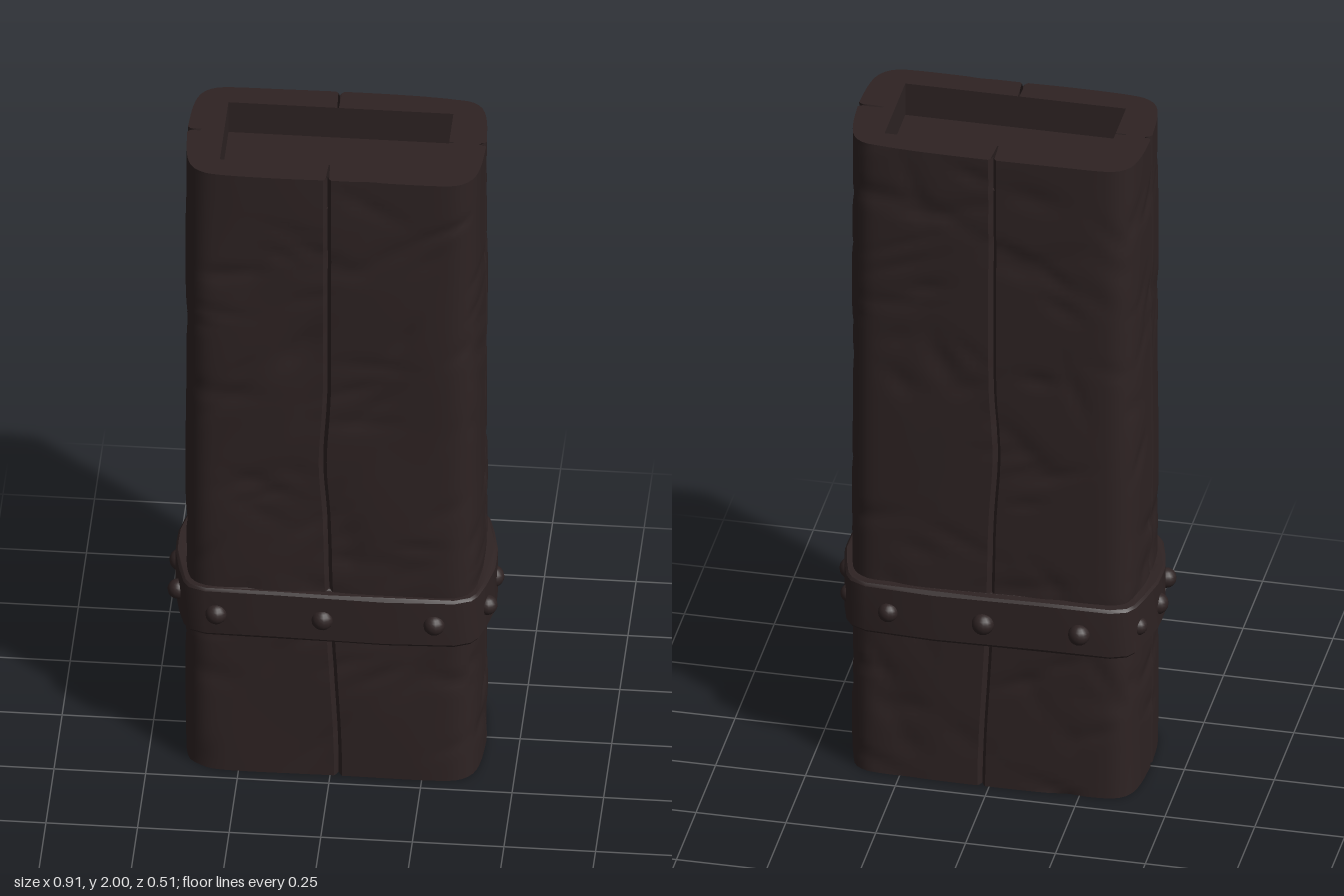
import * as THREE from 'three';
import { toCreasedNormals } from 'three/addons/utils/BufferGeometryUtils.js';

const HEIGHT = 2, MID_Z = 0.008, FLOOR_Y = 1.9;
const V2 = (x, y) => new THREE.Vector2(x, y);

// Small seeded generator for the carved dents
function seeded(seed) {
  return () => (seed = (seed * 16807) % 2147483647) / 2147483647;
}

// Quarter of an outline (front centre to left side), mirrored into a closed loop
function mirrorQuarter(q) {
  const back = q.map(p => V2(p.x, -p.y)).reverse();
  const half = [...q, ...back.slice(1)];
  const other = half.map(p => V2(-p.x, p.y)).reverse();
  return [...half, ...other.slice(1, -1)];
}

// Post quarter: soft corner, with a narrow plank seam at each end
const curve = new THREE.SplineCurve([V2(0.011, 0.206), V2(0.15, 0.206), V2(0.3, 0.203),
  V2(0.355, 0.192), V2(0.387, 0.16), V2(0.402, 0.1), V2(0.408, 0.011)]);
const postQuarter = [V2(0, 0.188), V2(0.005, 0.199), ...curve.getSpacedPoints(28),
  V2(0.401, 0.005), V2(0.39, 0)];

function makeDents() {
  const rnd = seeded(4711), dents = [];
  for (let i = 0; i < 190; i++) {
    const face = rnd(), s = rnd() < 0.5 ? -1 : 1, a = rnd() * 2 - 1;
    const tilt = (rnd() - 0.3) * 1.8;
    dents.push({
      wide: face < 0.7, s, a: a * (face < 0.7 ? 0.4 : 0.2), y: rnd() * HEIGHT,
      c: Math.cos(tilt), n: Math.sin(tilt),
      len: 0.04 + rnd() * 0.07, thin: 0.012 + rnd() * 0.02, depth: 0.003 + rnd() * 0.004
    });
  }
  return dents;
}

// Wandering line of the plank seam
const seamShift = y => -0.008 + 0.03 * Math.exp(-Math.pow(y / 0.45, 2))
  - 0.012 * Math.exp(-Math.pow((y - 1.05) / 0.15, 2));

function postPoint(p, y, dents) {
  let cut = 0;
  const onWide = Math.abs(p.y) > 0.17;
  for (const d of dents) {
    if (d.wide !== onWide || d.s * (d.wide ? p.y : p.x) < 0) continue;
    const u = (d.wide ? p.x : p.y) - d.a, v = y - d.y;
    const l = (u * d.c + v * d.n) / d.len, t = (v * d.c - u * d.n) / d.thin;
    const r = l * l + t * t;
    if (r < 6) cut += d.depth * Math.exp(-r);
  }
  cut = Math.min(cut, 0.008) + 0.0015 * Math.sin(y * 9 + p.x * 11 + p.y * 7);
  const shift = onWide ? seamShift(y) * Math.exp(-Math.pow(p.x / 0.15, 2)) : 0;
  const x = p.x + shift - (onWide ? 0 : Math.sign(p.x) * cut);
  const z = p.y + MID_Z - (onWide ? Math.sign(p.y) * cut : 0);
  return [x, y, z];
}

// Side walls as stacked cross-sections, open underneath
function postWalls(loop, dents) {
  const rows = 110, n = loop.length, pos = [], idx = [];
  for (let r = 0; r <= rows; r++)
    for (const p of loop) pos.push(...postPoint(p, HEIGHT * r / rows, dents));
  for (let r = 0; r < rows; r++)
    for (let i = 0; i < n; i++) {
      const a = r * n + i, b = r * n + (i + 1) % n;
      idx.push(a, b, b + n, a, b + n, a + n);
    }
  const g = new THREE.BufferGeometry();
  g.setAttribute('position', new THREE.Float32BufferAttribute(pos, 3));
  g.setIndex(idx);
  return toCreasedNormals(g, 0.7);
}

// Flat horizontal plate from [x, z] points
function plate(points, y) {
  const g = new THREE.ShapeGeometry(new THREE.Shape(points.map(p => V2(p.x, -p.y))));
  return g.rotateX(-Math.PI / 2).translate(0, y, 0);
}

export function createModel() {
  const group = new THREE.Group();
  const wood = new THREE.MeshStandardMaterial({ color: 0x2e2323, side: THREE.DoubleSide });
  wood.name = 'dark brown';
  const add = (name, geometry) => {
    const m = new THREE.Mesh(geometry, wood);
    m.name = name;
    group.add(m);
    return m;
  };

  // Post
  const loop = mirrorQuarter(postQuarter), dents = makeDents();
  add('postWalls', postWalls(loop, dents));

  // Top rim: four corner pieces separated by fine seams
  const hx = 0.307, hz = 0.132, gap = 0.002;
  for (const sx of [1, -1]) for (const sz of [1, -1]) {
    const outer = postQuarter.slice(1, -1).map(p => {
      const [x, , z] = postPoint(V2(p.x * sx, p.y * sz), HEIGHT, dents);
      return V2(x, z);
    });
    const seamX = seamShift(HEIGHT);
    const inner = [V2(hx * sx, MID_Z + gap * sz), V2(hx * sx, MID_Z + hz * sz),
      V2(seamX + gap * sx, MID_Z + hz * sz)];
    add('topRim', plate([...outer, ...inner], HEIGHT));
  }

  // Shallow recess in the top
  add('recessFloor', plate(loop.map(p => V2(p.x * 0.97, p.y * 0.97 + MID_Z)), FLOOR_Y));
  const depth = HEIGHT - FLOOR_Y;
  for (const s of [1, -1]) {
    add('recessLongWall', new THREE.PlaneGeometry(hx * 2, depth))
      .position.set(0, HEIGHT - depth / 2, MID_Z + s * hz);
    const end = add('recessEndWall', new THREE.PlaneGeometry(hz * 2, depth));
    end.position.set(s * hx, HEIGHT - depth / 2, MID_Z);
    end.rotation.y = Math.PI / 2;
  }

  // Strap around the post
  const strapQuarter = [V2(0, 0.227), V2(0.15, 0.227), V2(0.34, 0.222), V2(0.385, 0.204),
    V2(0.402, 0.18), V2(0.42, 0.12), V2(0.436, 0.045), V2(0.437, 0)];
  const strapShape = new THREE.Shape(mirrorQuarter(strapQuarter));
  strapShape.holes.push(new THREE.Path(loop.map(p => V2(p.x * 0.98, p.y * 0.97))));
  const strap = new THREE.ExtrudeGeometry(strapShape, {
    depth: 0.139, bevelEnabled: true, bevelSize: 0.006, bevelOffset: -0.006,
    bevelThickness: 0.008, bevelSegments: 1
  });
  strap.rotateX(-Math.PI / 2).translate(0, 0.467, 0.004);
  const sp = strap.attributes.position;
  for (let i = 0; i < sp.count; i++)
    sp.setY(i, sp.getY(i) + 0.003 * Math.sin(sp.getX(i) * 9 + sp.getZ(i) * 14));
  add('strap', toCreasedNormals(strap, 0.6));

  // Rivets: [x, z, radius]
  const rivets = [
    [-0.31, 0.223, 0.03], [-0.02, 0.223, 0.031], [0.285, 0.223, 0.03],
    [-0.255, -0.222, 0.03], [0.012, -0.222, 0.031], [0.277, -0.217, 0.028],
    [0.425, -0.015, 0.031], [0.421, 0.118, 0.028], [0.4, -0.142, 0.026],
    [-0.428, -0.016, 0.031], [-0.424, 0.118, 0.028], [-0.402, -0.142, 0.026]
  ];
  for (const [x, z, r] of rivets)
    add('rivet', new THREE.SphereGeometry(r, 14, 10)).position.set(x, 0.532, z);

  return group;
}
